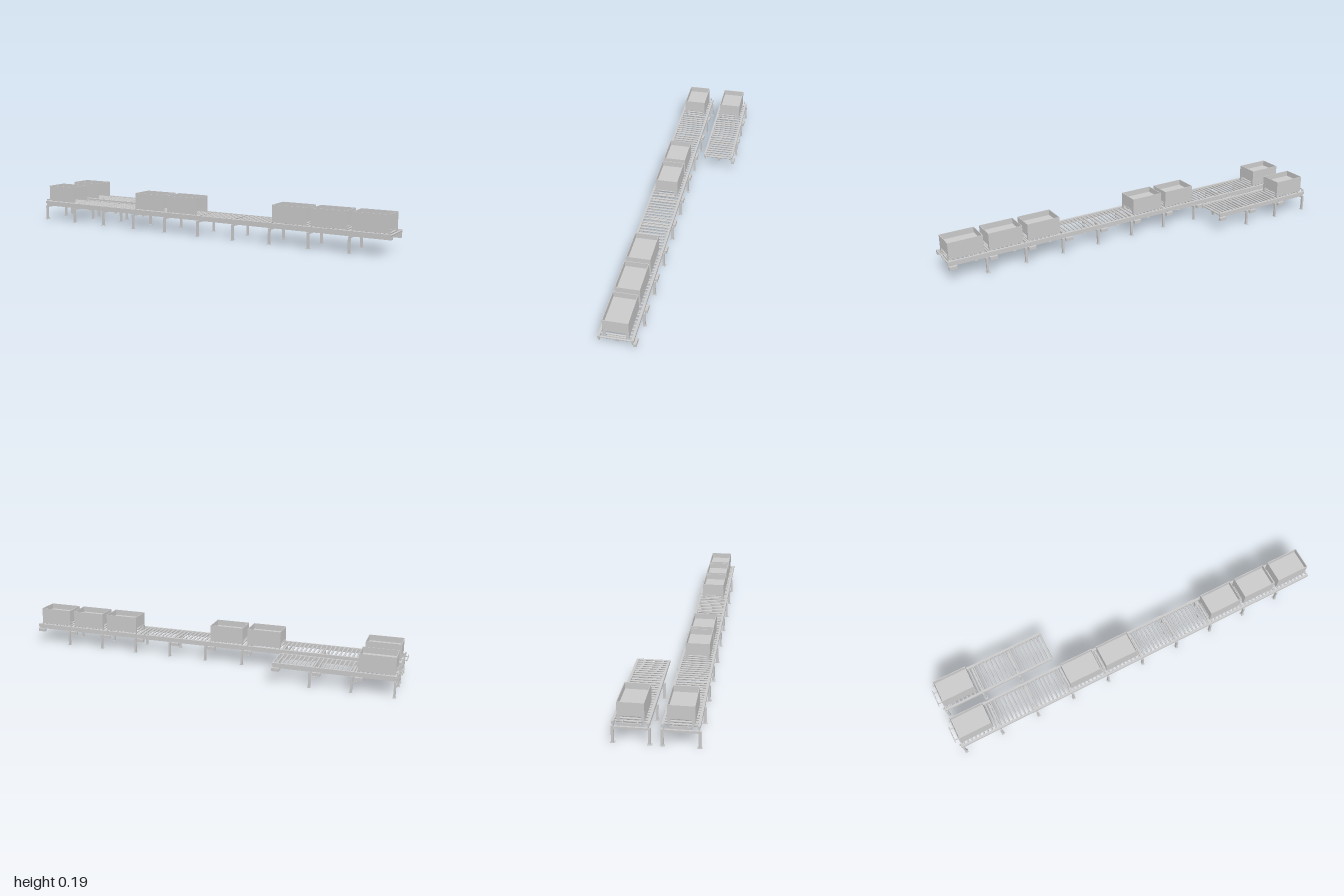
import * as THREE from 'three';

const grey = new THREE.MeshStandardMaterial({ color: 0xcacaca });
grey.name = 'plain grey';

const PITCH = 0.1985; // length of one conveyor section
const START = -0.975; // first leg position

function add(parent, name, geometry, x, y, z) {
  const mesh = new THREE.Mesh(geometry, grey);
  mesh.name = name;
  mesh.position.set(x, y, z);
  parent.add(mesh);
  return mesh;
}

// box given by its ranges along each axis
function block(parent, name, [x0, x1], [y0, y1], [z0, z1]) {
  return add(parent, name, new THREE.BoxGeometry(x1 - x0, y1 - y0, z1 - z0),
    (x0 + x1) / 2, (y0 + y1) / 2, (z0 + z1) / 2);
}

const rollerGeometry = new THREE.CylinderGeometry(0.0045, 0.0045, 0.142, 10).rotateX(Math.PI / 2);
const axleGeometry = new THREE.CylinderGeometry(0.0015, 0.0015, 0.158, 6).rotateX(Math.PI / 2);

// end wall of a bin, with an opening at the bottom
function endWallGeometry() {
  const shape = new THREE.Shape();
  [[-0.057, 0], [-0.043, 0], [-0.043, 0.023], [0.043, 0.023], [0.043, 0],
    [0.057, 0], [0.057, 0.084], [-0.057, 0.084]]
    .forEach(([z, y], i) => (i ? shape.lineTo(z, y) : shape.moveTo(z, y)));
  return new THREE.ExtrudeGeometry(shape, { depth: 0.003, bevelEnabled: false })
    .translate(0, 0, -0.0015).rotateY(Math.PI / 2);
}

// open-topped bin with a high floor
function bin(x) {
  const g = new THREE.Group();
  g.name = 'bin';
  g.position.set(x, 0.102, 0);
  const wall = endWallGeometry();
  for (const s of [-1, 1]) {
    add(g, 'binEndWall', wall, s * 0.0845, 0, 0);
    add(g, 'binSideWall', new THREE.BoxGeometry(0.166, 0.084, 0.003), 0, 0.042, s * 0.0555);
  }
  add(g, 'binFloor', new THREE.BoxGeometry(0.166, 0.003, 0.108), 0, 0.054, 0);
  return g;
}

// legs with feet joined by a cross beam
function legFrame(x) {
  const g = new THREE.Group();
  g.name = 'legFrame';
  g.position.x = x;
  for (const s of [-1, 1]) {
    add(g, 'leg', new THREE.BoxGeometry(0.01, 0.074, 0.011), 0, 0.039, s * 0.0765);
    add(g, 'foot', new THREE.BoxGeometry(0.016, 0.002, 0.021), 0, 0.001, s * 0.0765);
  }
  block(g, 'crossBeam', [-0.005, 0.005], [0.068, 0.077], [-0.082, 0.082]);
  block(g, 'beamSupport', [-0.004, 0.004], [0.082, 0.092], [-0.043, 0.043]);
  return g;
}

// rollers and drive of one section
function section(x) {
  const g = new THREE.Group();
  g.name = 'section';
  g.position.x = x;
  for (let i = 0; i < 9; i++) {
    const rx = 0.012 + i * 0.0215;
    add(g, 'roller', rollerGeometry, rx, 0.0965, 0);
    add(g, 'axle', axleGeometry, rx, 0.0975, 0);
  }
  // drive box hung outside the back rail
  block(g, 'driveBox', [0.147, 0.185], [0.063, 0.079], [-0.089, -0.074]);
  block(g, 'driveBracket', [0.158, 0.174], [0.073, 0.095], [-0.077, -0.069]);
  block(g, 'driveMount', [0.162, 0.17], [0.065, 0.082], [-0.008, 0.008]);
  block(g, 'driveCrossMember', [0.162, 0.17], [0.082, 0.09], [-0.043, 0.043]);
  return g;
}

function conveyor(name, z, count, end, loaded) {
  const g = new THREE.Group();
  g.name = name;
  g.position.z = z;
  for (const s of [-1, 1]) {
    block(g, 'sideRail', [-0.982, end], [0.089, 0.102], [s * 0.0735 - 0.0055, s * 0.0735 + 0.0055]);
    block(g, 'railSkirt', [-0.982, end], [0.077, 0.089], [s * 0.0725 - 0.002, s * 0.0725 + 0.002]);
  }
  for (let i = 0; i < count; i++) {
    const x = START + i * PITCH;
    g.add(legFrame(x), section(x));
    if (loaded.includes(i)) g.add(bin(x + 0.089));
  }
  // stop bar across the entry end, between two guide posts
  block(g, 'endStop', [-1, -0.996], [0.099, 0.107], [-0.043, 0.043]);
  for (const s of [-1, 1]) {
    block(g, 'endStopArm', [-0.998, -0.97], [0.099, 0.104], [s * 0.03 - 0.002, s * 0.03 + 0.002]);
    block(g, 'guidePost', [-0.986, -0.978], [0.1, 0.111], [s * 0.066 - 0.003, s * 0.066 + 0.003]);
  }
  return g;
}

export function createModel() {
  const model = new THREE.Group();
  model.name = 'rollerConveyors';
  model.add(
    conveyor('longConveyor', 0.103, 10, 1, [0, 3, 4, 7, 8, 9]),
    conveyor('shortConveyor', -0.102, 3, -0.396, [0]),
  );
  return model;
}
